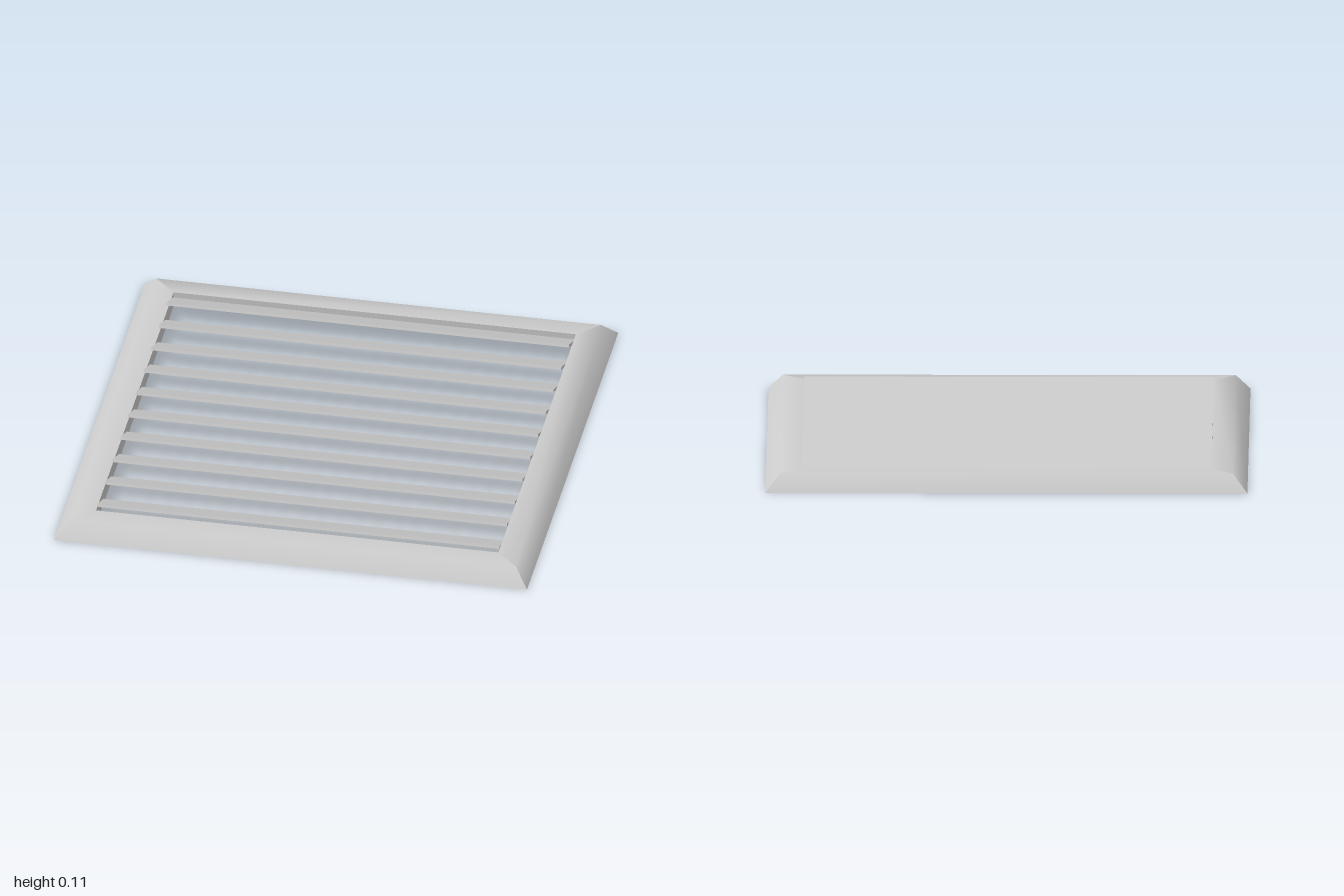
import * as THREE from 'three';
import { toCreasedNormals } from 'three/addons/utils/BufferGeometryUtils.js';

const material = new THREE.MeshStandardMaterial({ color: 0xcccccc });

// One mitred side of the frame: a closed section of [distance from centre, height]
function frameSideGeometry(section) {
  const positions = [];
  section.forEach(([r0, y0], i) => {
    const [r1, y1] = section[(i + 1) % section.length];
    const a = [-r0, y0, r0], b = [r0, y0, r0], c = [r1, y1, r1], d = [-r1, y1, r1];
    positions.push(...a, ...b, ...c, ...a, ...c, ...d);
  });
  const geometry = new THREE.BufferGeometry();
  geometry.setAttribute('position', new THREE.Float32BufferAttribute(positions, 3));
  // Soft shading from the bevel into the flat top, sharp elsewhere
  return toCreasedNormals(geometry, THREE.MathUtils.degToRad(60));
}

export function createModel() {
  const model = new THREE.Group();
  model.name = 'louvreVent';

  // Bevelled square frame
  const frame = new THREE.Group();
  frame.name = 'frame';
  const sideGeometry = frameSideGeometry([[1, 0], [0.94, 0.07], [0.85, 0.07], [0.85, 0]]);
  ['frontSide', 'leftSide', 'backSide', 'rightSide'].forEach((name, i) => {
    const side = new THREE.Mesh(sideGeometry, material);
    side.name = name;
    side.rotation.y = i * Math.PI / 2;
    frame.add(side);
  });
  model.add(frame);

  // Tilted slats, each sitting a little lower towards the front
  const slats = new THREE.Group();
  slats.name = 'slats';
  const slatGeometry = new THREE.BoxGeometry(1.7, 0.012, 0.153);
  const count = 10;
  for (let i = 0; i < count; i++) {
    const t = i / (count - 1);
    const slat = new THREE.Mesh(slatGeometry, material);
    slat.name = `slat${i + 1}`;
    slat.position.set(0, THREE.MathUtils.lerp(0.077, 0.05, t), THREE.MathUtils.lerp(-0.767, 0.759, t));
    slat.rotation.x = -0.42;
    slats.add(slat);
  }
  model.add(slats);

  return model;
}
